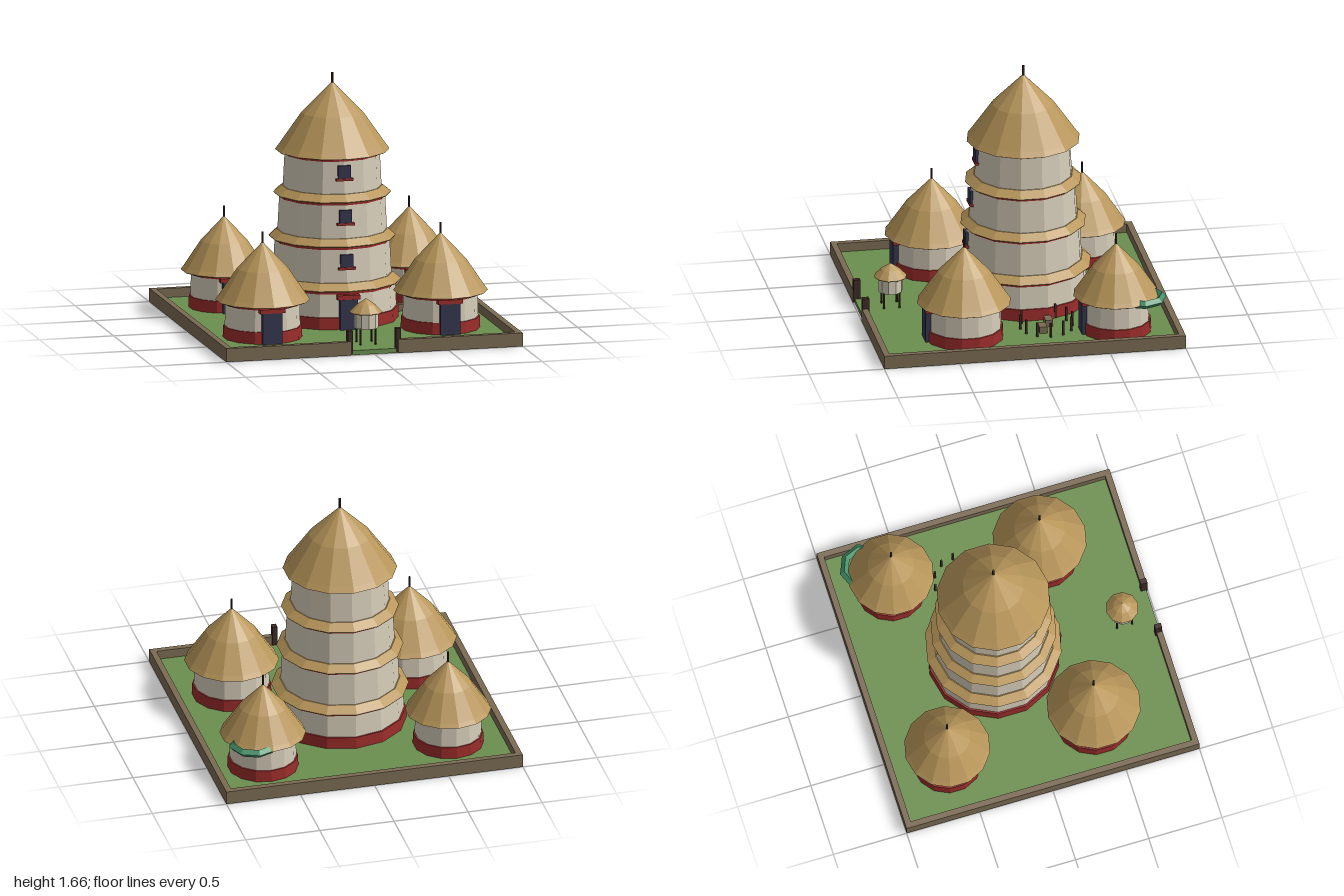
import * as THREE from 'three';

const material = (name, color, extra = {}) =>
  new THREE.MeshStandardMaterial({ name, color, flatShading: true, ...extra });

export function createModel() {
  const grass = material('grass', 0x6b8f4e);
  const earth = material('earth wall', 0x7a6a52);
  const thatch = material('thatch', 0xb8965a);
  const plaster = material('cream plaster', 0xd6cdb9);
  const red = material('red trim', 0x9a2c2a);
  const navy = material('dark opening', 0x33364f);
  const wood = material('dark wood', 0x3d2a24);
  const teal = material('teal', 0x439068, { side: THREE.DoubleSide });

  const model = new THREE.Group();
  model.name = 'walledVillage';
  const SIDES = 14;

  const add = (parent, name, geometry, mat, x = 0, y = 0, z = 0) => {
    const mesh = new THREE.Mesh(geometry, mat);
    mesh.name = name;
    mesh.position.set(x, y, z);
    parent.add(mesh);
    return mesh;
  };
  // Box given by its base height
  const box = (parent, name, mat, w, h, d, x, y, z) =>
    add(parent, name, new THREE.BoxGeometry(w, h, d), mat, x, y + h / 2, z);
  // Tapered drum between two heights
  const drum = (parent, name, mat, rBottom, rTop, y0, y1, sides = SIDES) =>
    add(parent, name, new THREE.CylinderGeometry(rTop, rBottom, y1 - y0, sides), mat, 0, (y0 + y1) / 2, 0);
  // Closed profile turned around the y axis
  const turned = (parent, name, mat, points, sides = SIDES) =>
    add(parent, name, new THREE.LatheGeometry(points.map(p => new THREE.Vector2(...p)), sides), mat);
  // Two-pitch thatched roof with a small eave lip
  const roof = (parent, r, y0, y1, sides = SIDES) => {
    const h = y1 - y0;
    turned(parent, 'thatchRoof', thatch, [
      [0, y0], [r * 0.96, y0], [r, y0 + 0.006], [r * 0.93, y0 + h * 0.09],
      [r * 0.54, y0 + h * 0.55], [0, y1],
    ], sides);
  };
  const groupAt = (name, x, z) => {
    const g = new THREE.Group();
    g.name = name;
    g.position.set(x, 0, z);
    model.add(g);
    return g;
  };

  // Ground and enclosing wall with a front gate
  box(model, 'ground', grass, 1.98, 0.03, 1.98, 0, 0, 0);
  box(model, 'backWall', earth, 2, 0.09, 0.04, 0, 0, -0.98);
  for (const s of [-1, 1]) {
    box(model, 'sideWall', earth, 0.04, 0.09, 1.92, s * 0.98, 0, 0);
    box(model, 'frontWall', earth, 0.84, 0.09, 0.04, s * 0.58, 0, 0.98);
    box(model, 'gatePost', wood, 0.034, 0.155, 0.045, s * 0.163, 0.008, 0.975);
  }

  // Four-storey tower: [bottom radius, top radius, base y, top y]
  const tower = groupAt('tower', 0, -0.1);
  const tiers = [
    [0.425, 0.41, 0.03, 0.285],
    [0.39, 0.375, 0.285, 0.575],
    [0.36, 0.345, 0.575, 0.865],
    [0.325, 0.31, 0.865, 1.15],
  ];
  drum(tower, 'baseBand', red, 0.435, 0.432, 0.03, 0.108);
  tiers.forEach(([r0, r1, y0, y1], i) => {
    drum(tower, 'storeyWall', plaster, r0, r1, y0, y1);
    drum(tower, 'topBand', red, r1 + 0.006, r1 + 0.006, y1 - 0.024, y1);
    if (i < 3) {
      // Skirt roof meeting the next storey
      const inner = tiers[i + 1][0];
      turned(tower, 'skirtRoof', thatch, [
        [inner - 0.04, y1 - 0.004], [r1 + 0.036, y1 - 0.004], [r1 + 0.04, y1 + 0.002],
        [inner + 0.004, y1 + 0.046], [inner - 0.04, y1 + 0.046],
      ]);
    }
    if (i > 0) {
      // Window and sill
      const wy = [0, 0.435, 0.725, 1.015][i];
      const wz = (r0 + r1) / 2 - 0.008;
      box(tower, 'window', navy, 0.084, 0.085, 0.03, 0, wy, wz);
      box(tower, 'windowSill', red, 0.116, 0.016, 0.04, 0, wy - 0.016, wz);
    }
  });
  box(tower, 'towerDoor', navy, 0.12, 0.2, 0.04, 0, 0.03, 0.425);
  box(tower, 'towerLintel', red, 0.15, 0.03, 0.045, 0, 0.23, 0.42);
  roof(tower, 0.374, 1.145, 1.6);
  drum(tower, 'finial', wood, 0.008, 0.008, 1.58, 1.66, 6);

  // Round huts: [x, z, wall radius, roof radius, roof top]
  const huts = [
    [-0.6, 0.4, 0.25, 0.31, 0.663], [0.6, 0.4, 0.25, 0.31, 0.663],
    [-0.6, -0.6, 0.222, 0.283, 0.635], [0.65, -0.6, 0.222, 0.283, 0.635],
  ];
  for (const [x, z, r, rRoof, top] of huts) {
    const hut = groupAt('hut', x, z);
    drum(hut, 'hutWall', plaster, r, r - 0.008, 0.03, 0.28);
    drum(hut, 'baseBand', red, r + 0.01, r + 0.007, 0.03, 0.108);
    drum(hut, 'topBand', red, r, r, 0.254, 0.277);
    box(hut, 'hutDoor', navy, 0.134, 0.205, 0.035, 0, 0.03, r - 0.001);
    box(hut, 'doorLintel', red, 0.168, 0.028, 0.045, 0, 0.235, r - 0.004);
    roof(hut, rRoof, 0.273, top);
    drum(hut, 'finial', wood, 0.007, 0.007, top - 0.02, top + 0.065, 6);
  }

  // Raised granary on four legs
  const granary = groupAt('granary', 0, 0.78);
  drum(granary, 'granaryBody', plaster, 0.08, 0.08, 0.135, 0.242, 10);
  turned(granary, 'granaryRoof', thatch,
    [[0, 0.235], [0.106, 0.235], [0.109, 0.24], [0.06, 0.29], [0, 0.33]], 10);
  for (const sx of [-1, 1]) for (const sz of [-1, 1])
    drum(granary, 'granaryLeg', wood, 0.007, 0.007, 0.03, 0.14, 6)
      .position.set(sx * 0.051, 0.085, sz * 0.051);

  // Ring of posts around two low benches
  const circle = groupAt('postCircle', 0.55, -0.155);
  for (let i = 0; i < 12; i++) {
    const a = (i * Math.PI) / 6;
    box(circle, 'ringPost', wood, 0.014, 0.098, 0.014, Math.cos(a) * 0.172, 0.03, Math.sin(a) * 0.172);
  }
  box(circle, 'bench', earth, 0.09, 0.045, 0.05, -0.05, 0.03, -0.022);
  box(circle, 'bench', earth, 0.085, 0.045, 0.05, 0.06, 0.03, 0.037);

  // Curved teal band resting on the eave of the rear hut
  const arc = new THREE.TorusGeometry(0.138, 0.028, 4, 4, Math.PI);
  arc.rotateZ(-Math.PI / 4).rotateX(-Math.PI / 2);
  add(model, 'curvedBand', arc, teal, 0.75, 0.28, -0.75);

  return model;
}
